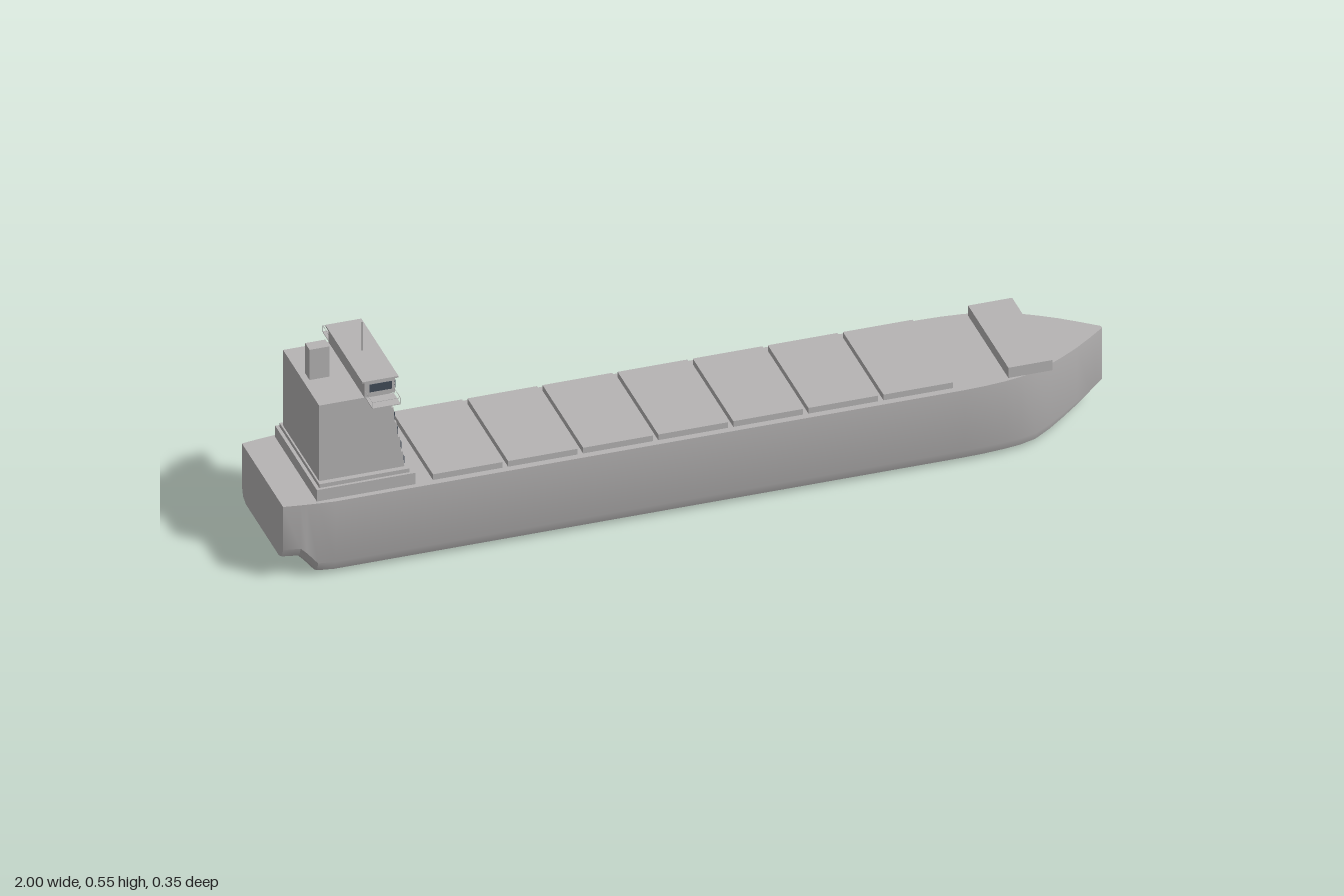
import * as THREE from 'three';
import { toCreasedNormals } from 'three/addons/utils/BufferGeometryUtils.js';

const paint = new THREE.MeshStandardMaterial({ color: 0xb6b4b4 });
paint.name = 'light grey paint';
const glass = new THREE.MeshStandardMaterial({ color: 0x414c58 });
glass.name = 'dark window glass';

const DECK = 0.195;

// Box given by its limits in x and y and its half width in z
function slab(name, x0, x1, y0, y1, halfZ, material = paint, z = 0) {
  const mesh = new THREE.Mesh(new THREE.BoxGeometry(x1 - x0, y1 - y0, halfZ * 2), material);
  mesh.position.set((x0 + x1) / 2, (y0 + y1) / 2, z);
  mesh.name = name;
  return mesh;
}

// Hull lofted through stations of [x, half width, keel height]
function hullGeometry() {
  const stations = [
    [-1, 0.145, 0.05], [-0.96, 0.151, 0.048], [-0.945, 0.153, 0.033], [-0.92, 0.156, 0.003],
    [-0.88, 0.16, 0.001], [0.62, 0.16, 0.001], [0.67, 0.158, 0.001], [0.72, 0.153, 0.001],
    [0.76, 0.146, 0.001], [0.8, 0.134, 0.003], [0.84, 0.115, 0.013], [0.88, 0.092, 0.025],
    [0.92, 0.066, 0.037], [0.96, 0.036, 0.049], [0.98, 0.02, 0.055], [1, 0.004, 0.06],
  ];
  const rings = stations.map(([x, w, keel]) => {
    const s = w / 0.16;
    const side = [[0.8 * w, keel], [0.94 * w, keel + 0.01 * s], [w, keel + 0.034 * s], [w, DECK]];
    const other = side.map(([z, y]) => [-z, y]).reverse();
    return [...side, ...other].map(([z, y]) => [x, y, z]);
  });
  const pos = [];
  const tri = (a, b, c) => pos.push(...a, ...b, ...c);
  const n = rings[0].length;
  for (let i = 0; i < rings.length - 1; i++) {
    const p = rings[i], q = rings[i + 1];
    for (let j = 0; j < n; j++) {
      const k = (j + 1) % n;
      tri(p[j], q[j], p[k]);
      tri(q[j], q[k], p[k]);
    }
  }
  // Transom and stem caps
  const stern = rings[0], bow = rings[rings.length - 1];
  for (let j = 1; j < n - 1; j++) {
    tri(stern[0], stern[j], stern[j + 1]);
    tri(bow[0], bow[j + 1], bow[j]);
  }
  const geometry = new THREE.BufferGeometry();
  geometry.setAttribute('position', new THREE.Float32BufferAttribute(pos, 3));
  return toCreasedNormals(geometry, 0.42);
}

// Accommodation block whose forward wall steps back deck by deck
function accommodation() {
  const group = new THREE.Group();
  group.name = 'accommodation';
  group.add(slab('lowerHouse', -0.92, -0.685, DECK, 0.225, 0.147));
  group.add(slab('houseStep', -0.912, -0.697, 0.225, 0.235, 0.14));

  const decks = 5, y0 = 0.235, pitch = 0.04;
  const frontX = (i) => -0.705 - i * 0.0075;
  const outline = new THREE.Shape();
  outline.moveTo(-0.908, y0);
  for (let i = 0; i < decks; i++) {
    outline.lineTo(frontX(i), y0 + i * pitch);
    outline.lineTo(frontX(i) - 0.003, y0 + (i + 1) * pitch);
  }
  outline.lineTo(-0.908, y0 + decks * pitch);
  const block = new THREE.ExtrudeGeometry(outline, { depth: 0.254, bevelEnabled: false });
  block.translate(0, 0, -0.127);
  const tower = new THREE.Mesh(block, paint);
  tower.name = 'tower';
  group.add(tower);

  // One window band on each deck
  for (let i = 0; i < decks; i++) {
    const y = y0 + i * pitch + 0.008;
    group.add(slab('deckWindows', frontX(i) - 0.006, frontX(i) + 0.0005, y, y + 0.018, 0.1268, glass));
  }
  return group;
}

function bridge() {
  const group = new THREE.Group();
  group.name = 'bridge';
  group.add(slab('wheelhouse', -0.8, -0.727, 0.435, 0.475, 0.127));
  group.add(slab('bridgeRoof', -0.806, -0.72, 0.475, 0.479, 0.131));
  group.add(slab('bridgeFrontWindows', -0.729, -0.726, 0.447, 0.467, 0.127, glass));

  for (const s of [1, -1]) {
    group.add(slab('bridgeSideWindows', -0.788, -0.735, 0.447, 0.467, 0.001, glass, s * 0.1272));
    // Open bridge wing: thin floor, top rails and corner posts
    group.add(slab('wingFloor', -0.797, -0.73, 0.432, 0.434, 0.0245, paint, s * 0.1515));
    for (const x of [-0.797, -0.731]) {
      group.add(slab('wingRail', x, x + 0.001, 0.449, 0.45, 0.0245, paint, s * 0.1515));
      group.add(slab('wingPost', x, x + 0.001, 0.434, 0.449, 0.0005, paint, s * 0.1755));
    }
    group.add(slab('wingEndRail', -0.797, -0.73, 0.449, 0.45, 0.0005, paint, s * 0.1755));
  }

  const mast = new THREE.Mesh(new THREE.CylinderGeometry(0.0015, 0.0015, 0.077, 8), paint);
  mast.position.set(-0.762, 0.5165, 0);
  mast.name = 'mast';
  group.add(mast);
  return group;
}

export function createModel() {
  const ship = new THREE.Group();
  ship.name = 'cargoShip';

  const hull = new THREE.Mesh(hullGeometry(), paint);
  hull.name = 'hull';
  ship.add(hull);

  // Row of cargo hatch covers
  for (let i = 0; i < 7; i++) {
    const x = -0.642 + i * 0.179;
    ship.add(slab('hatchCover', x, x + 0.166, DECK, 0.21, 0.143));
  }
  ship.add(slab('forecastle', 0.73, 0.835, DECK, 0.222, 0.142));

  ship.add(accommodation(), bridge());
  ship.add(slab('funnel', -0.893, -0.845, 0.43, 0.515, 0.0155));
  return ship;
}
